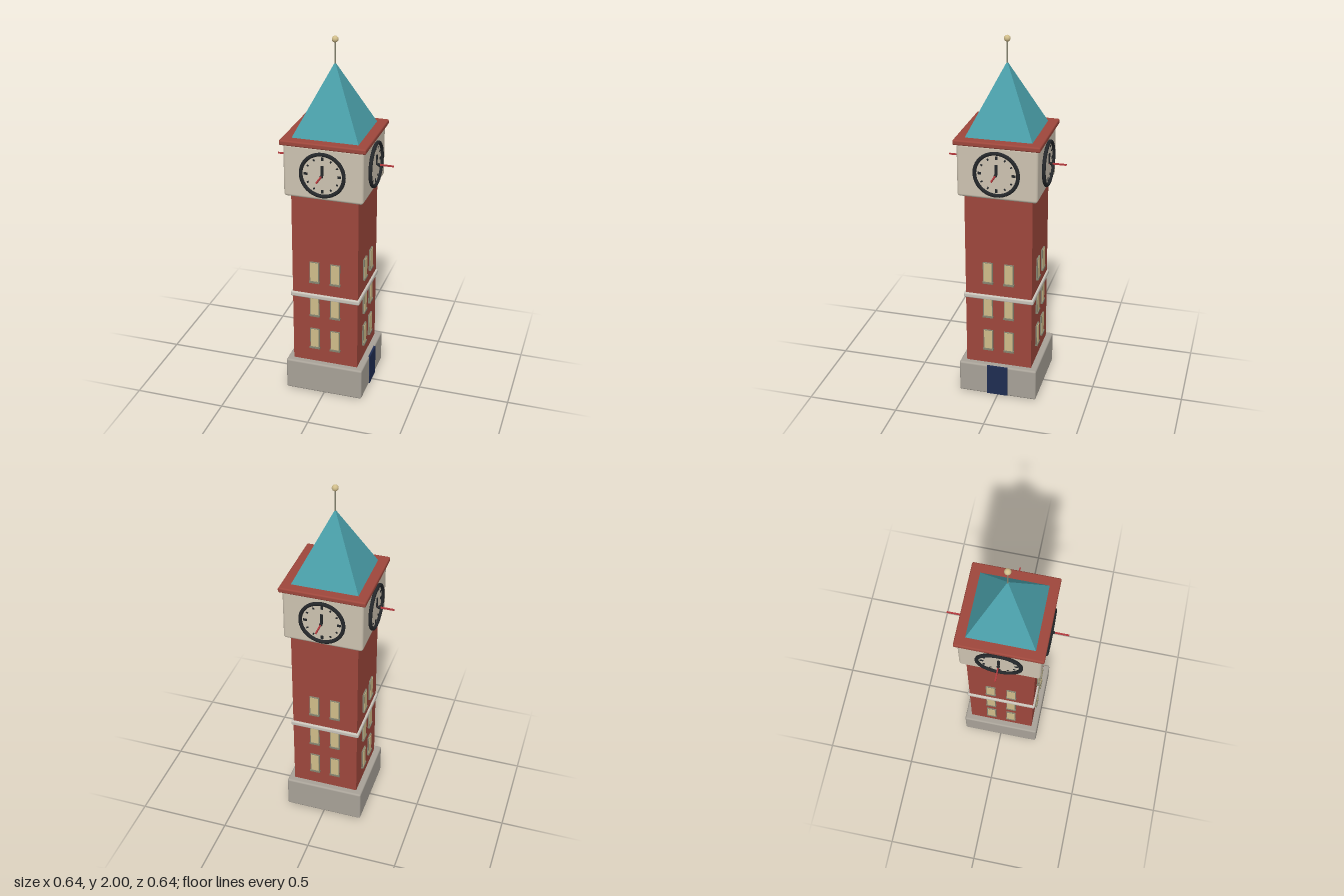
import * as THREE from 'three';
import { RoundedBoxGeometry } from 'three/addons/geometries/RoundedBoxGeometry.js';

const mat = (name, color) => {
  const m = new THREE.MeshStandardMaterial({ color });
  m.name = name;
  return m;
};

export function createModel() {
  const brick = mat('brick red', 0x9e473c);
  const stone = mat('grey stone', 0xa8a298);
  const cream = mat('cream stone', 0xcdc3b1);
  const trim = mat('pale trim', 0xc9c4ba);
  const gold = mat('pale gold', 0xd0bd8a);
  const copper = mat('teal copper', 0x4a9fa9);
  const black = mat('black iron', 0x24272a);
  const red = mat('hand red', 0xb53a3e);
  const navy = mat('navy door', 0x1f2d52);
  const frameGrey = mat('window frame grey', 0x85836f);

  const tower = new THREE.Group();
  tower.name = 'clockTower';

  const add = (parent, name, geometry, material, x = 0, y = 0, z = 0) => {
    const mesh = new THREE.Mesh(geometry, material);
    mesh.name = name;
    mesh.position.set(x, y, z);
    parent.add(mesh);
    return mesh;
  };
  const box = (w, h, d) => new THREE.BoxGeometry(w, h, d);
  const rounded = (w, h, d, r) => new RoundedBoxGeometry(w, h, d, 3, r);

  // Main masses
  add(tower, 'base', rounded(0.436, 0.183, 0.436, 0.01), stone, 0, 0.0945);
  add(tower, 'shaft', box(0.366, 1.2, 0.366), brick, 0, 0.6);
  add(tower, 'beltCourse', rounded(0.388, 0.028, 0.388, 0.008), trim, 0, 0.598);
  add(tower, 'clockBlock', rounded(0.428, 0.292, 0.428, 0.016), cream, 0, 1.334);
  add(tower, 'eaves', rounded(0.458, 0.028, 0.458, 0.008), brick, 0, 1.488);

  // Four-sided spire with flat faces
  const spire = new THREE.ConeGeometry(0.178 * Math.SQRT2, 0.365, 4)
    .rotateY(Math.PI / 4).toNonIndexed();
  spire.computeVertexNormals();
  add(tower, 'spire', spire, copper, 0, 1.6825);
  add(tower, 'finialRod', new THREE.CylinderGeometry(0.004, 0.004, 0.13, 10), frameGrey, 0, 1.915);
  add(tower, 'finialBall', new THREE.SphereGeometry(0.017, 16, 12), gold, 0, 1.983);

  // Door on the model's left side
  add(tower, 'door', box(0.012, 0.177, 0.116), navy, 0.217, 0.0965, 0);

  // One side's windows and clock, facing +z
  const buildSide = (index) => {
    const side = new THREE.Group();
    side.name = `side${index + 1}`;
    side.rotation.y = index * Math.PI / 2;

    for (const y of [0.335, 0.54, 0.748]) {
      for (const x of [-0.058, 0.058]) {
        add(side, 'windowFrame', box(0.054, 0.12, 0.012), frameGrey, x, y, 0.185);
        add(side, 'windowPane', box(0.044, 0.11, 0.006), gold, x, y + 0.002, 0.19);
        add(side, 'windowSill', box(0.058, 0.01, 0.018), frameGrey, x, y - 0.06, 0.187);
      }
    }

    const clock = new THREE.Group();
    clock.name = 'clock';
    clock.position.set(0, 1.333, 0);
    side.add(clock);
    add(clock, 'clockFace', new THREE.CylinderGeometry(0.116, 0.116, 0.008, 40).rotateX(Math.PI / 2),
      cream, 0, 0, 0.215);
    add(clock, 'clockRim', new THREE.TorusGeometry(0.115, 0.01, 10, 40), black, 0, 0, 0.223);

    // Hour marks, larger on the quarters
    for (let i = 0; i < 12; i++) {
      const a = i * Math.PI / 6;
      const big = i % 3 === 0;
      const mark = add(clock, 'hourMark', box(big ? 0.013 : 0.008, big ? 0.019 : 0.011, 0.006),
        black, Math.sin(a) * 0.09, Math.cos(a) * 0.09, 0.219);
      mark.rotation.z = -a;
    }

    // Hour hand upright, minute hand projecting straight out
    add(clock, 'hourHand', box(0.014, 0.054, 0.006), black, 0, 0.027, 0.226);
    add(clock, 'hub', new THREE.SphereGeometry(0.009, 12, 8), black, 0, 0, 0.237);
    add(clock, 'minuteHand', box(0.007, 0.008, 0.09), red, 0, 0, 0.273);
    return side;
  };
  for (let i = 0; i < 4; i++) tower.add(buildSide(i));

  return tower;
}
